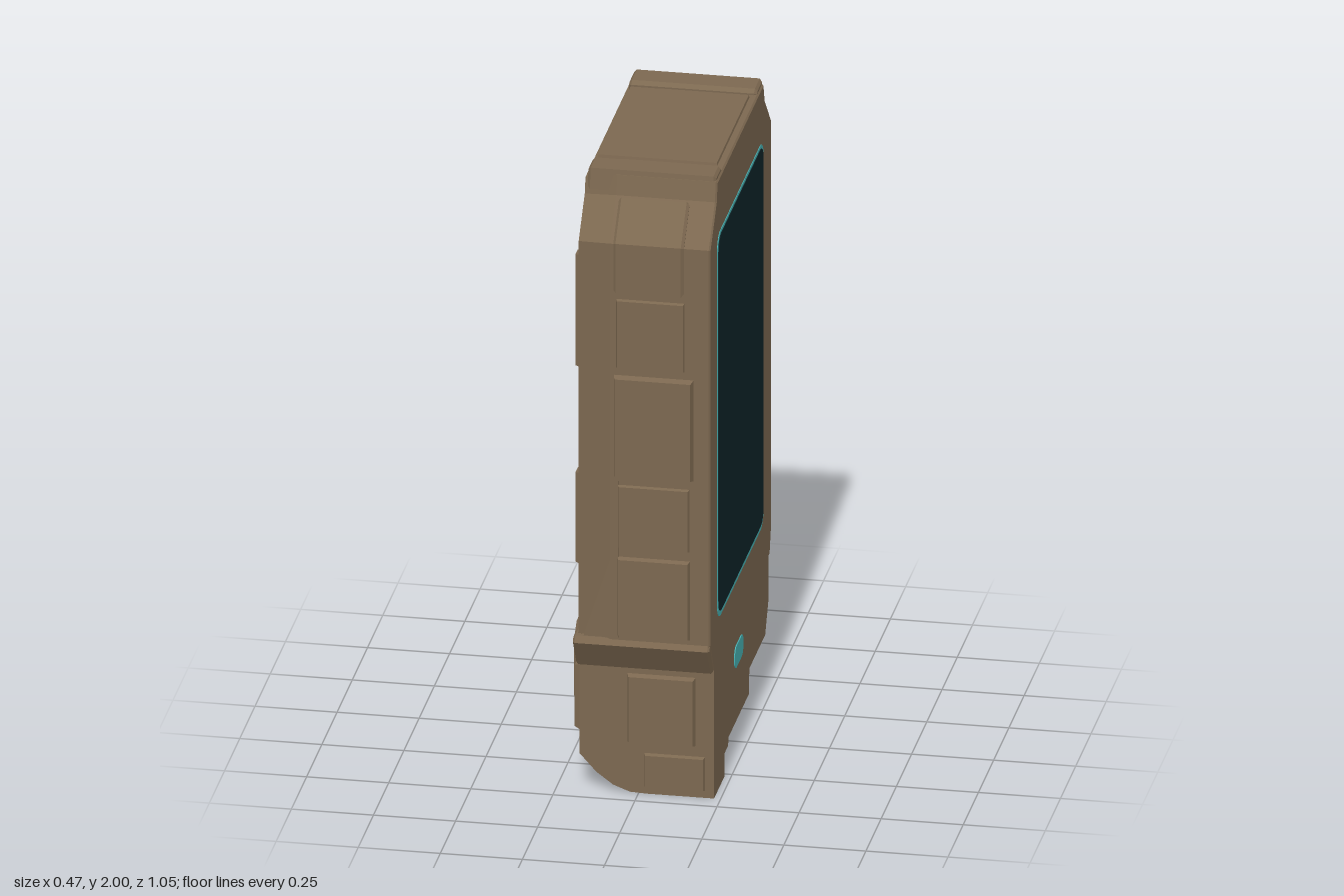
import * as THREE from 'three';

export function createModel() {
  const root = new THREE.Group();
  const shell = new THREE.MeshStandardMaterial({ color: 0x7c6850 });
  shell.name = 'brown shell';
  const glass = new THREE.MeshStandardMaterial({ color: 0x0e2529 });
  glass.name = 'dark screen';
  const glow = new THREE.MeshStandardMaterial({ color: 0x47b2b4 });
  glow.name = 'teal light';

  function add(name, geo, mat = shell) {
    const mesh = new THREE.Mesh(geo, mat);
    mesh.name = name;
    root.add(mesh);
    return mesh;
  }
  const vectors = (pts) => {
    const v = pts.map(([z, y]) => new THREE.Vector2(-z, y));
    return THREE.ShapeUtils.isClockWise(v) ? v.reverse() : v;
  };

  // Outline of [z, y] points, extruded along x from x0 to x1
  function plate(pts, x0, x1, bevel = 0, { hole, thick = bevel, steps = 1 } = {}) {
    const shape = new THREE.Shape(vectors(pts));
    if (hole) shape.holes.push(new THREE.Path(vectors(hole).reverse()));
    const geo = new THREE.ExtrudeGeometry(shape, {
      depth: x1 - x0 - 2 * thick, steps, bevelEnabled: bevel > 0,
      bevelSize: bevel, bevelOffset: -bevel, bevelThickness: thick, bevelSegments: 1,
    });
    geo.translate(0, 0, x0 + thick);
    return geo.rotateY(Math.PI / 2);
  }

  // Box whose outer face (on one axis and side) is drawn in by an inset
  function block(x0, x1, y0, y1, z0, z1, axis, side, inset) {
    const size = [x1 - x0, y1 - y0, z1 - z0];
    const geo = new THREE.BoxGeometry(...size).toNonIndexed();
    const p = geo.attributes.position;
    for (let i = 0; i < p.count; i++) {
      const v = [p.getX(i), p.getY(i), p.getZ(i)];
      if (v[axis] * side > 0) {
        for (let a = 0; a < 3; a++) if (a !== axis) v[a] -= Math.sign(v[a]) * inset;
      }
      p.setXYZ(i, ...v);
    }
    geo.computeVertexNormals();
    return geo.translate((x0 + x1) / 2, (y0 + y1) / 2, (z0 + z1) / 2);
  }

  // Rectangle with cut corners
  const cutRect = (z0, z1, y0, y1, c) => [
    [z0 + c, y0], [z1 - c, y0], [z1, y0 + c], [z1, y1 - c],
    [z1 - c, y1], [z0 + c, y1], [z0, y1 - c], [z0, y0 + c],
  ];
  // Rectangle with rounded corners
  function roundRect(z0, z1, y0, y1, r) {
    const pts = [];
    [[z1 - r, y1 - r], [z0 + r, y1 - r], [z0 + r, y0 + r], [z1 - r, y0 + r]].forEach(([cz, cy], q) => {
      for (let k = 0; k <= 5; k++) {
        const a = (q + k / 5) * Math.PI / 2;
        pts.push([cz + r * Math.cos(a), cy + r * Math.sin(a)]);
      }
    });
    return pts;
  }

  // Main housing
  const outline = [
    [0.385, 1.985], [0.4, 1.925], [0.502, 1.81], [0.502, 0.52], [0.44, 0.41], [0.44, 0.36],
    [-0.44, 0.36], [-0.45, 0.41], [-0.475, 0.41], [-0.502, 0.5], [-0.502, 1.815],
    [-0.395, 1.925], [-0.375, 1.985],
  ];
  add('housing', plate(outline, -0.08, 0.23, 0.005));
  const opening = cutRect(-0.385, 0.405, 0.52, 1.82, 0.08);
  add('backFrame', plate(outline, -0.175, 0.1, 0.022, { hole: opening, thick: 0.1 }));
  add('recessFloor', new THREE.BoxGeometry(0.06, 1.36, 0.84).translate(-0.11, 1.17, 0.01));

  // Lower grip: stepped outline, underside curving up toward the back
  const grip = plate([
    [0.44, 0.43], [0.44, 0], [0.27, 0], [0.265, 0.075], [0.21, 0.075], [0.2, 0.1], [-0.13, 0.1],
    [-0.14, 0.18], [-0.4, 0.18], [-0.452, 0.27], [-0.452, 0.43],
  ], -0.18, 0.23, 0, { steps: 8 });
  const gp = grip.attributes.position;
  for (let i = 0; i < gp.count; i++) {
    const x = Math.min(0, gp.getX(i));
    if (gp.getY(i) < 0.3) gp.setY(i, gp.getY(i) + 3.6 * x * x);
  }
  grip.computeVertexNormals();
  add('lowerGrip', grip);

  // Screens on both faces, each a teal border under dark glass
  add('screenBorder', plate(roundRect(-0.363, 0.392, 0.557, 1.81, 0.05), 0.229, 0.232), glow);
  add('screen', plate(roundRect(-0.352, 0.382, 0.573, 1.8, 0.045), 0.23, 0.234), glass);
  add('backScreenBorder', plate(cutRect(-0.382, 0.402, 0.525, 1.815, 0.08), -0.143, -0.139), glow);
  add('backScreen', plate(cutRect(-0.374, 0.394, 0.535, 1.807, 0.078), -0.146, -0.14), glass);
  add('statusLight', plate(roundRect(-0.027, 0.112, 0.278, 0.348, 0.028), 0.229, 0.233), glow);

  // Armour panels down both edges
  for (const s of [1, -1]) {
    const side = s > 0 ? 'front' : 'rear';
    const edge = (name, x0, x1, y0, y1, out, base = 0.48) =>
      add(side + name, block(x0, x1, y0, y1, ...(s > 0 ? [base, out] : [-out, -base]), 2, s, 0.012));
    edge('UpperPanel', -0.065, 0.16, 1.4, 1.64, 0.512);
    edge('MiddlePanel', -0.07, 0.185, 1.05, 1.39, 0.524);
    edge('LowerPanel', -0.06, 0.175, 0.815, 1.035, 0.512);
    edge('BasePanel', -0.06, 0.175, 0.53, 0.8, 0.518);
    edge('GripPanel', -0.04, 0.18, s > 0 ? 0.16 : 0.28, 0.395, 0.458, 0.42);
    // Panel bent round the upper corner
    add(side + 'TopPanel', plate([
      [s * 0.47, 1.655], [s * 0.513, 1.655], [s * 0.513, 1.815], [s * 0.414, 1.925], [s * 0.37, 1.9],
    ], -0.065, 0.15, 0.008));
    // Sloping collar above the grip
    add(side + 'Collar', plate([
      [s * 0.4, 0.41], [s * 0.45, 0.41], [s * 0.512, 0.505], [s * 0.5, 0.525], [s * 0.4, 0.525],
    ], -0.188, 0.228, 0.006));
    // Raised end caps on the top
    add(side + 'TopCap', plate([
      [s * 0.285, 1.94], [s * 0.285, 1.99], [s * 0.3, 2], [s * 0.38, 2], [s * 0.392, 1.935],
    ], -0.165, 0.225, 0.008));
    // Rails beside the back screen
    for (const [y0, y1] of [[0.74, 1.05], [1.38, 1.76]]) {
      const z = s > 0 ? [0.415, 0.475] : [-0.475, -0.395];
      add(side + 'BackRail', block(-0.188, -0.15, y0, y1, ...z, 0, -1, 0.01));
    }
  }
  add('topPanel', block(-0.165, 0.215, 1.95, 1.993, -0.275, 0.27, 1, 1, 0.01));
  add('footPanel', block(0.01, 0.21, 0.015, 0.14, 0.42, 0.452, 2, 1, 0.012));

  // Slanted fin beside the front lower panels
  const fin = new THREE.Shape([[-0.155, 0.53], [-0.05, 0.53], [-0.05, 1.04], [-0.065, 0.81]]
    .map(([x, y]) => new THREE.Vector2(x, y)));
  add('frontFin', new THREE.ExtrudeGeometry(fin, { depth: 0.03, bevelEnabled: false }).translate(0, 0, 0.478));

  // Clips wrapping the rear back corner
  for (const [y0, y1] of [[1.07, 1.365], [0.45, 0.72]]) {
    add('cornerClip', block(-0.235, -0.1, y0, y1, -0.522, -0.385, 0, -1, 0.03));
  }

  // Indicator housing on the back of the grip
  add('indicatorHousing', plate(cutRect(-0.14, 0.245, 0.16, 0.45, 0.05), -0.235, -0.14, 0.012,
    { hole: cutRect(-0.04, 0.13, 0.215, 0.355, 0.015) }));
  add('indicatorFloor', new THREE.BoxGeometry(0.06, 0.18, 0.2).translate(-0.175, 0.285, 0.045));
  add('indicatorLight', plate(roundRect(-0.005, 0.095, 0.245, 0.325, 0.02), -0.211, -0.204), glow);

  // Pads either side of the indicator, and under the grip
  add('gripPad', block(-0.2, -0.15, 0.31, 0.42, -0.43, -0.19, 0, -1, 0.02));
  add('gripPad', block(-0.2, -0.15, 0.17, 0.41, 0.28, 0.43, 0, -1, 0.02));
  add('underPad', block(0.02, 0.19, 0.168, 0.2, -0.38, -0.17, 1, -1, 0.012));
  add('underPad', block(0.02, 0.19, 0.088, 0.12, -0.1, 0.17, 1, -1, 0.012));
  return root;
}
